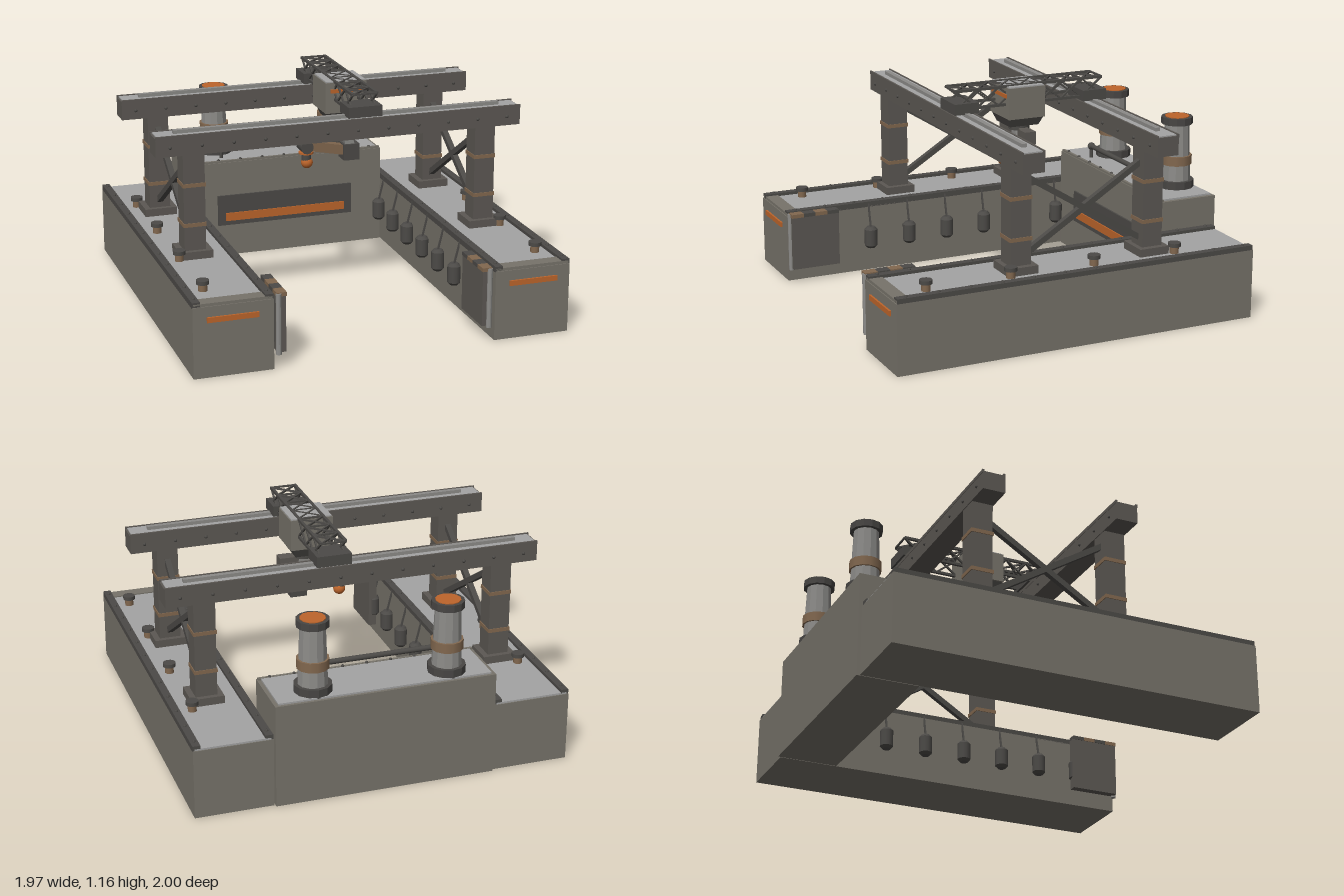
import * as THREE from 'three';

const mat = (color, flatShading = false) => new THREE.MeshStandardMaterial({ color, flatShading });
const HULL = mat(0x77736a), DARK = mat(0x4c4a47), STEEL = mat(0x5c5853), DECK = mat(0xa3a3a3);
const BRONZE = mat(0x82684f), ORANGE = mat(0xbd652b), PIPE = mat(0x8c8b88, true), CAP = mat(0x484644, true);

function add(parent, name, geometry, material, x = 0, y = 0, z = 0) {
  const mesh = new THREE.Mesh(geometry, material);
  mesh.name = name;
  mesh.position.set(x, y, z);
  parent.add(mesh);
  return mesh;
}

// Box given by its extents on each axis
function box(parent, name, m, x0, x1, y0, y1, z0, z1) {
  return add(parent, name, new THREE.BoxGeometry(x1 - x0, y1 - y0, z1 - z0), m,
    (x0 + x1) / 2, (y0 + y1) / 2, (z0 + z1) / 2);
}

// Upright cylinder from y0 to y1
function post(parent, name, m, x, z, y0, y1, r0, r1 = r0, sides = 12) {
  return add(parent, name, new THREE.CylinderGeometry(r1, r0, y1 - y0, sides), m, x, (y0 + y1) / 2, z);
}

// Square bar between two points
function bar(parent, name, m, a, b, w, d = w) {
  const p = new THREE.Vector3(...a), q = new THREE.Vector3(...b);
  const mesh = add(parent, name, new THREE.BoxGeometry(w, d, p.distanceTo(q)), m);
  mesh.position.copy(p).add(q).multiplyScalar(0.5);
  mesh.lookAt(q);
  return mesh;
}

function bolt(parent, x, y, z) {
  add(parent, 'bolt', new THREE.SphereGeometry(0.009, 8, 6), DARK, x, y, z);
}

function group(parent, name) {
  const g = new THREE.Group();
  g.name = name;
  parent.add(g);
  return g;
}

// One side pontoon; s is +1 for left, -1 for right
function pontoon(root, s) {
  const g = group(root, s > 0 ? 'leftPontoon' : 'rightPontoon');
  const bx = (name, m, x0, x1, ...rest) => box(g, name, m, Math.min(s * x0, s * x1), Math.max(s * x0, s * x1), ...rest);
  bx('hull', HULL, 0.58, 0.985, 0, 0.365, -0.985, 0.985);
  bx('deck', DECK, 0.59, 0.975, 0.365, 0.374, -0.98, 0.91);
  bx('bowPlate', HULL, 0.585, 0.98, 0.365, 0.38, 0.91, 0.98);
  bx('bowStripe', ORANGE, 0.655, 0.915, 0.285, 0.312, 0.98, 0.995);
  for (const x of [0.60, 0.965]) {
    bx('edgeRail', DARK, x - 0.02, x + 0.02, 0.36, 0.39, -0.98, 0.98);
    for (let i = 0; i < 12; i++) bolt(g, s * x, 0.39, -0.93 + i * 0.169);
  }
  // Mooring bollards
  for (const z of [-0.58, -0.12, 0.34, 0.79]) {
    post(g, 'bollard', BRONZE, s * 0.88, z, 0.37, 0.415, 0.023);
    post(g, 'bollardCap', DARK, s * 0.88, z, 0.41, 0.43, 0.033);
  }
  // Hanging fenders
  for (let i = 0; i < 7; i++) {
    const z = -0.63 + i * 0.228, x = s * 0.553;
    bar(g, 'fenderRope', DARK, [s * 0.585, 0.38, z], [x, 0.25, z], 0.009);
    post(g, 'fender', DARK, x, z, 0.15, 0.24, 0.036);
    post(g, 'fenderTop', DARK, x, z, 0.24, 0.255, 0.036, 0.022);
    post(g, 'fenderBottom', DARK, x, z, 0.135, 0.15, 0.022, 0.036);
  }
  // Striped entry guard at the mouth
  bx('guardBoard', STEEL, 0.515, 0.56, 0.08, 0.375, 0.71, 0.975);
  bx('guardMount', DARK, 0.555, 0.585, 0.12, 0.34, 0.76, 0.93);
  for (let i = 0; i < 4; i++) {
    bx('guardStripe', i % 2 ? BRONZE : DARK, 0.512, 0.563, 0.37, 0.39, 0.71 + i * 0.067, 0.777 + i * 0.067);
  }
  post(g, 'guardPole', PIPE, s * 0.553, 0.975, 0.07, 0.385, 0.014);
}

// Rear engine block with stacks and rail
function rearBlock(root) {
  const g = group(root, 'rearBlock');
  box(g, 'blockHull', HULL, -0.575, 0.575, 0, 0.545, -1, -0.675);
  box(g, 'blockDeck', DECK, -0.555, 0.555, 0.545, 0.554, -0.985, -0.695);
  box(g, 'blockLip', HULL, -0.57, 0.57, 0.54, 0.556, -0.695, -0.68);
  box(g, 'panel', DARK, -0.395, 0.395, 0.18, 0.355, -0.68, -0.665);
  box(g, 'panelStripe', ORANGE, -0.35, 0.35, 0.206, 0.252, -0.67, -0.658);
  for (let i = 0; i < 9; i++) bolt(g, -0.51 + i * 0.1275, 0.556, -0.69);
  for (const x of [-0.35, 0.35]) {
    const z = -0.89;
    post(g, 'stackBase', CAP, x, z, 0.55, 0.595, 0.097);
    post(g, 'stack', PIPE, x, z, 0.59, 0.91, 0.077, 0.065);
    post(g, 'stackBand', BRONZE, x, z, 0.68, 0.73, 0.083);
    post(g, 'stackCap', CAP, x, z, 0.9, 0.938, 0.084);
    post(g, 'stackGlow', ORANGE, x, z, 0.93, 0.942, 0.065);
    post(g, 'railPost', DARK, x, -0.75, 0.55, 0.62, 0.01);
    add(g, 'railKnob', new THREE.SphereGeometry(0.021, 12, 8), DARK, x, 0.62, -0.75);
  }
  add(g, 'handRail', new THREE.CylinderGeometry(0.014, 0.014, 0.7, 10), DARK, 0, 0.62, -0.75).rotation.z = Math.PI / 2;
}

// Two portal frames with cross braces
function gantry(root) {
  const g = group(root, 'gantry');
  const zs = [0.268, -0.468];
  for (const z of zs) {
    for (const x of [-0.79, 0.79]) {
      box(g, 'pillar', STEEL, x - 0.056, x + 0.056, 0.37, 0.93, z - 0.056, z + 0.056);
      box(g, 'pillarFoot', STEEL, x - 0.087, x + 0.087, 0.37, 0.415, z - 0.082, z + 0.082);
      for (const y of [0.55, 0.76]) box(g, 'pillarBand', BRONZE, x - 0.06, x + 0.06, y - 0.01, y + 0.01, z - 0.06, z + 0.06);
    }
    box(g, 'beam', STEEL, -0.985, 0.985, 0.92, 1.018, z - 0.06, z + 0.06);
    box(g, 'beamTop', DECK, -0.975, 0.975, 1.016, 1.024, z - 0.052, z + 0.052);
    box(g, 'trackRail', PIPE, -0.88, 0.88, 1.02, 1.042, z - 0.013, z + 0.013);
    for (const e of [-1, 1]) {
      box(g, 'beamLip', STEEL, -0.985, 0.985, 1.01, 1.028, z + e * 0.057 - 0.005, z + e * 0.057 + 0.005);
      for (let i = 0; i < 12; i++) bolt(g, -0.91 + i * 0.1655, 0.967, z + e * 0.06);
    }
  }
  for (const x of [-0.79, 0.79]) {
    bar(g, 'brace', DARK, [x, 0.45, 0.23], [x, 0.86, -0.43], 0.03);
    bar(g, 'brace', DARK, [x, 0.86, 0.23], [x, 0.45, -0.43], 0.03);
  }
}

// Travelling truss bridge with trolley house and arm
function crane(root) {
  const g = group(root, 'crane');
  const x0 = 0.055, x1 = 0.185, y0 = 1.06, y1 = 1.155, z0 = -0.52, z1 = 0.32, n = 7;
  for (const z of [0.268, -0.468]) {
    box(g, 'endTruck', DARK, 0.027, 0.21, 1.036, 1.093, z - 0.068, z + 0.068);
  }
  for (const x of [x0, x1]) for (const y of [y0, y1]) bar(g, 'trussChord', DARK, [x, y, z0], [x, y, z1], 0.014);
  const step = (z1 - z0) / n;
  for (let i = 0; i <= n; i++) {
    const a = z0 + i * step, b = a + step;
    bar(g, 'trussStrut', DARK, [x0, y1, a], [x1, y1, a], 0.009);
    if (i === n) break;
    for (const x of [x0, x1]) {
      bar(g, 'trussDiagonal', DARK, [x, y0, a], [x, y1, b], 0.009);
      bar(g, 'trussDiagonal', DARK, [x, y1, a], [x, y0, b], 0.009);
    }
    bar(g, 'trussLacing', DARK, [x0, y1, a], [x1, y1, b], 0.009);
    bar(g, 'trussLacing', DARK, [x1, y1, a], [x0, y1, b], 0.009);
  }
  box(g, 'trolleyHouse', HULL, 0.003, 0.23, 0.985, 1.15, -0.167, 0.04);
  box(g, 'trolleyRoof', DECK, 0.008, 0.225, 1.15, 1.156, -0.162, 0.035);
  box(g, 'trolleyStripe', ORANGE, 0.03, 0.205, 1.095, 1.115, 0.03, 0.046);
  const skirt = new THREE.CylinderGeometry(0.145, 0.115, 0.05, 4).toNonIndexed().rotateY(Math.PI / 4);
  skirt.computeVertexNormals();
  add(g, 'trolleySkirt', skirt, DARK, 0.116, 0.963, -0.063);

  const arm = group(g, 'arm'), z = -0.065;
  post(arm, 'turntable', DARK, 0.13, z, 0.91, 0.95, 0.055);
  box(arm, 'counterweight', STEEL, 0.195, 0.268, 0.85, 0.92, z - 0.032, z + 0.032);
  bar(arm, 'shoulderLink', STEEL, [0.11, 0.915, z], [0.23, 0.885, z], 0.05);
  bar(arm, 'upperArm', PIPE, [0.13, 0.93, z], [0.172, 0.75, z], 0.07, 0.05);
  box(arm, 'elbow', DARK, 0.127, 0.215, 0.7, 0.788, z - 0.045, z + 0.045);
  bar(arm, 'foreArm', BRONZE, [0.15, 0.75, z], [-0.075, 0.795, z], 0.05, 0.052);
  add(arm, 'wrist', new THREE.CylinderGeometry(0.035, 0.035, 0.09, 12), DARK, -0.078, 0.79, z).rotation.x = Math.PI / 2;
  post(arm, 'toolRing', ORANGE, -0.072, z, 0.748, 0.758, 0.04);
  post(arm, 'toolNeck', DARK, -0.07, z, 0.71, 0.77, 0.026);
  add(arm, 'toolTip', new THREE.SphereGeometry(0.032, 16, 12), ORANGE, -0.067, 0.698, z);
}

export function createModel() {
  const root = new THREE.Group();
  root.name = 'floatingDock';
  for (const s of [-1, 1]) pontoon(root, s);
  rearBlock(root);
  gantry(root);
  crane(root);
  return root;
}
